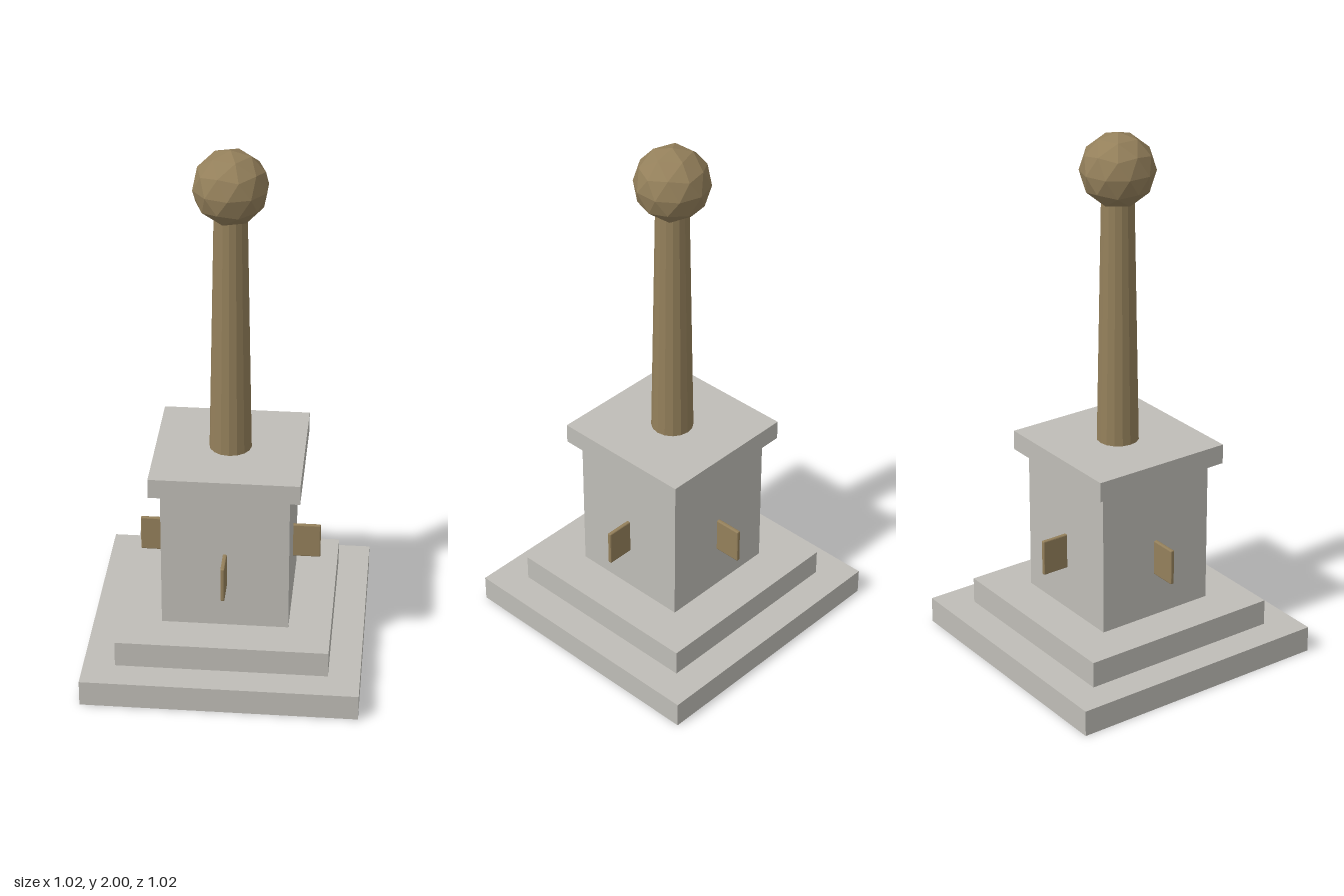
import * as THREE from 'three';
import { RoundedBoxGeometry } from 'three/addons/geometries/RoundedBoxGeometry.js';

export function createModel() {
  const model = new THREE.Group();
  model.name = 'monument';

  const stone = new THREE.MeshStandardMaterial({ color: 0xbfbdb7 });
  stone.name = 'stone';
  const bronze = new THREE.MeshStandardMaterial({ color: 0x94805b });
  bronze.name = 'bronze';
  bronze.flatShading = true;

  function add(name, geometry, material, x, y, z) {
    const mesh = new THREE.Mesh(geometry, material);
    mesh.name = name;
    mesh.position.set(x, y, z);
    model.add(mesh);
    return mesh;
  }

  // Square stone tiers: name, width, bottom, top
  const tiers = [
    ['lowerStep', 1.024, 0, 0.1],
    ['upperStep', 0.788, 0.1, 0.2],
    ['pedestal', 0.472, 0.2, 0.757],
    ['capSlab', 0.55, 0.757, 0.832],
  ];
  for (const [name, width, bottom, top] of tiers) {
    add(name, new THREE.BoxGeometry(width, top - bottom, width), stone, 0, (bottom + top) / 2, 0);
  }

  // Thin upright plates, one out of each pedestal face
  const plate = new RoundedBoxGeometry(0.138, 0.137, 0.015, 1, 0.004);
  const sides = ['left', 'back', 'right', 'front'];
  sides.forEach((side, i) => {
    const angle = (i * Math.PI) / 2;
    const mesh = add(side + 'Plate', plate, bronze, Math.cos(angle) * 0.27, 0.438, -Math.sin(angle) * 0.27);
    mesh.rotation.y = angle;
  });

  // Tapered column, running slightly into the ball
  add('column', new THREE.CylinderGeometry(0.06, 0.078, 0.928, 16), bronze, 0, 0.832 + 0.464, 0);

  // Faceted ball, turned so that a five-fold corner points up
  const ball = new THREE.IcosahedronGeometry(0.137, 1);
  ball.rotateZ(-Math.atan(2 / (1 + Math.sqrt(5))));
  add('ball', ball, bronze, 0, 1.863, 0);

  return model;
}
